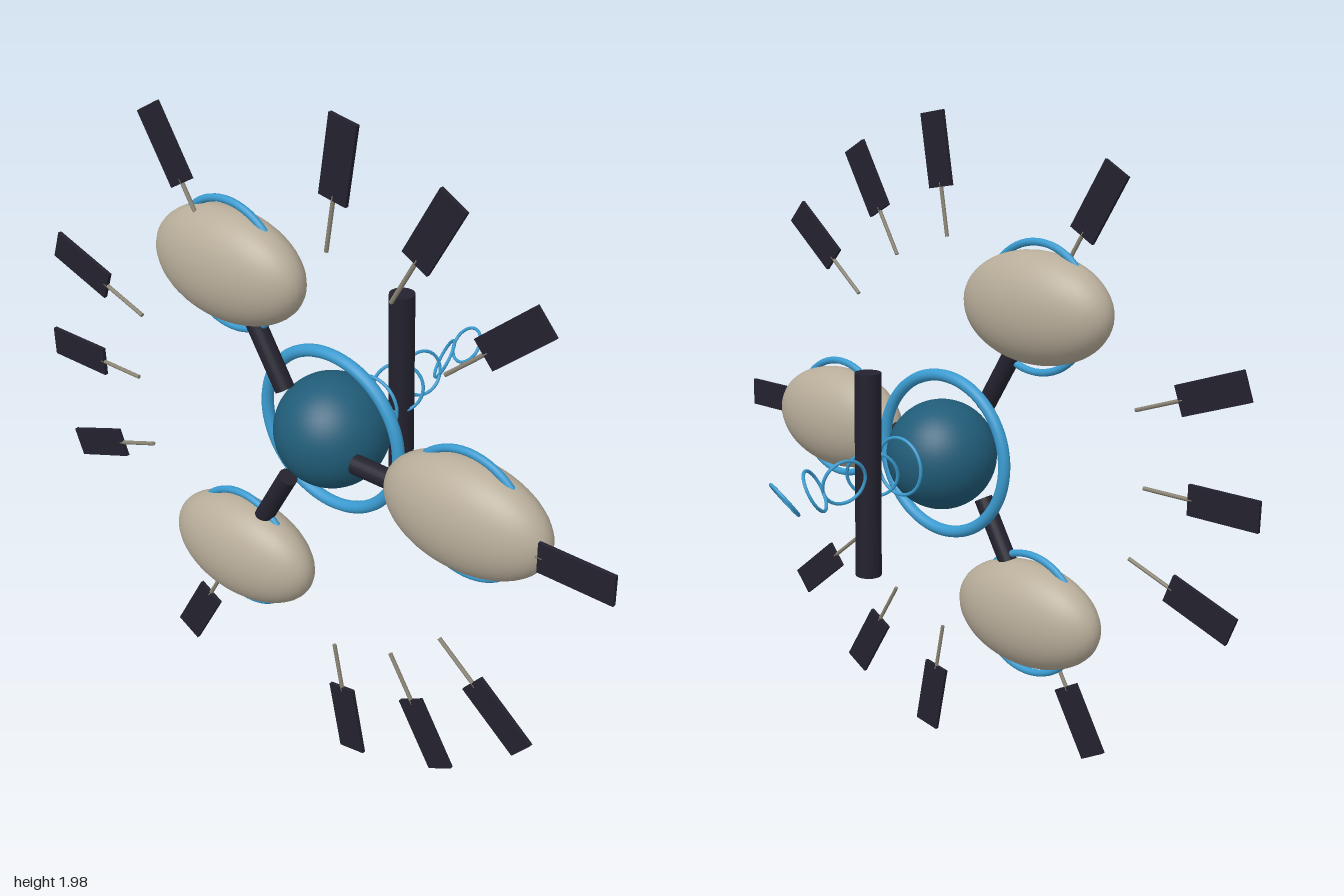
import * as THREE from 'three';

const material = (name, color) => {
  const m = new THREE.MeshStandardMaterial({ color });
  m.name = name;
  return m;
};

export function createModel() {
  const teal = material('deep teal', 0x205c78);
  const blue = material('bright blue', 0x3a9bd0);
  const tan = material('warm tan', 0xb8ad9a);
  const dark = material('dark slate', 0x23222e);
  const grey = material('rod grey', 0x8a8474);

  const CY = 0.993; // height of the hub axis
  const model = new THREE.Group();
  model.name = 'orbitalStation';

  const add = (parent, name, geometry, mat, x = 0, y = 0, z = 0) => {
    const mesh = new THREE.Mesh(geometry, mat);
    mesh.name = name;
    mesh.position.set(x, y, z);
    parent.add(mesh);
    return mesh;
  };

  // Central hub and its ring
  add(model, 'hubSphere', new THREE.SphereGeometry(0.165, 40, 28), teal, 0, CY, 0.23);
  add(model, 'hubRing', new THREE.TorusGeometry(0.239, 0.018, 14, 72), blue, 0, CY, 0.235);

  // Three pods, each with an arm and a ring
  const podShape = new THREE.SphereGeometry(1, 40, 28).scale(0.257, 0.163, 0.114);
  const podRing = new THREE.TorusGeometry(0.186, 0.011, 10, 56);
  const armShape = new THREE.CylinderGeometry(0.028, 0.028, 0.29, 20).rotateZ(-Math.PI / 2);
  for (let i = 0; i < 3; i++) {
    const a = (i * Math.PI * 2) / 3;
    const x = Math.cos(a), y = Math.sin(a);
    add(model, 'pod', podShape, tan, x * 0.535, CY + y * 0.535, 0.328);
    add(model, 'podRing', podRing, blue, x * 0.535, CY + y * 0.535, 0.328);
    add(model, 'podArm', armShape, dark, x * 0.31, CY + y * 0.31, 0.328).rotation.z = a;
  }

  // Radial panels on thin rods
  const panelShape = new THREE.BoxGeometry(0.22, 0.088, 0.011);
  const rodShape = new THREE.CylinderGeometry(0.006, 0.006, 0.16, 10).rotateZ(Math.PI / 2);
  for (const degrees of [0, 40, 60, 80, 120, 160, 180, 200, 240, 280, 300, 320]) {
    const panel = new THREE.Group();
    panel.name = 'radialPanel';
    panel.position.set(0, CY, 0.365);
    panel.rotation.z = THREE.MathUtils.degToRad(degrees);
    add(panel, 'panelBlade', panelShape, dark, 0.89);
    add(panel, 'panelRod', rodShape, grey, 0.713);
    model.add(panel);
  }

  // Upright post behind the hub
  add(model, 'rearPost', new THREE.CylinderGeometry(0.038, 0.038, 0.6, 24), dark, 0, CY, -0.08);

  // Trail of shrinking, tumbling rings: radius and facing direction
  const trail = [
    [0.085, 0, 0, 1],
    [0.073, 0.6, 0.24, 0.75],
    [0.067, 0.93, 0.2, 0.28],
    [0.061, 0.72, -0.47, -0.49],
    [0.056, 0.32, -0.62, -0.72],
  ];
  const forward = new THREE.Vector3(0, 0, 1);
  trail.forEach(([radius, nx, ny, nz], i) => {
    const ring = add(model, 'trailRing', new THREE.TorusGeometry(radius, 0.005, 8, 40), blue,
      0, CY, 0.048 - 0.112 * i);
    ring.quaternion.setFromUnitVectors(forward, new THREE.Vector3(nx, ny, nz).normalize());
  });

  return model;
}
